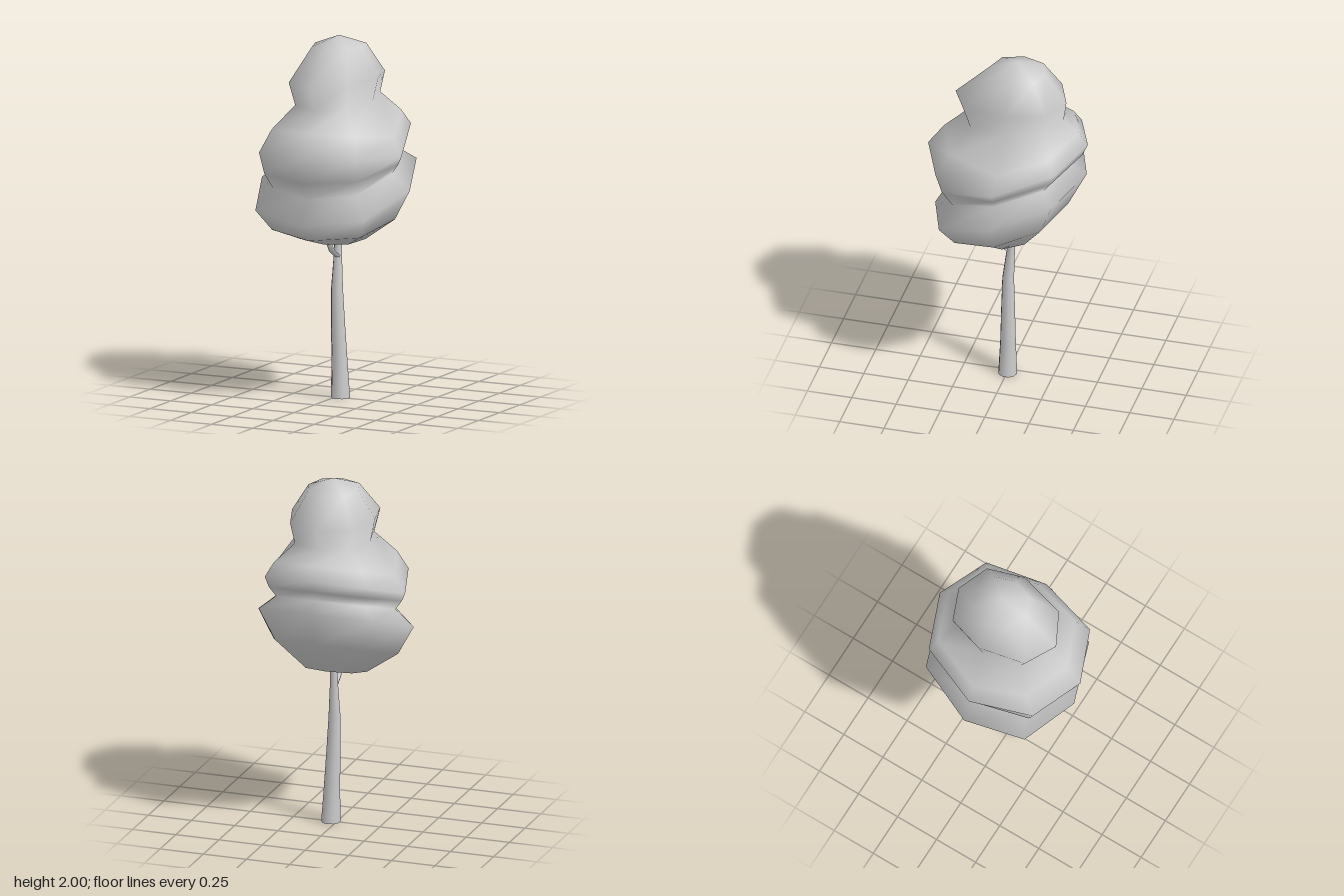
import * as THREE from 'three';
import { mergeVertices } from 'three/addons/utils/BufferGeometryUtils.js';

const material = new THREE.MeshStandardMaterial({ color: 0xcccccc, side: THREE.DoubleSide });

// Smooth skin through closed rings of [x, y, z] points, listed bottom to top
function loft(rings) {
  const n = rings[0].length;
  const index = [];
  for (let i = 0; i < rings.length - 1; i++) {
    for (let k = 0; k < n; k++) {
      const a = i * n + k, b = i * n + (k + 1) % n;
      index.push(a, b, b + n, a, b + n, a + n);
    }
  }
  const geometry = new THREE.BufferGeometry();
  geometry.setAttribute('position', new THREE.Float32BufferAttribute(rings.flat(2), 3));
  geometry.setIndex(index);
  const merged = mergeVertices(geometry, 1e-4); // closes the poles
  merged.computeVertexNormals();
  return merged;
}

// Tilted eight-sided ring given by its front, side and back points
function leafRing([frontZ, frontY, halfWidth, sideY, sideZ, backZ, backY]) {
  return Array.from({ length: 8 }, (_, k) => {
    const angle = k * Math.PI / 4;
    const grow = k % 2 ? 1.045 : 1;
    const c = Math.cos(angle) * grow, s = Math.sin(angle) * grow;
    const endZ = c > 0 ? frontZ : backZ;
    const endY = c > 0 ? frontY : backY;
    const t = Math.abs(c);
    return [halfWidth * s, sideY + (endY - sideY) * t, sideZ + (endZ - sideZ) * t];
  });
}

// Tapered limb: each stop is [x, y, z, radius]; rings lie flat
function limb(name, stops, sides) {
  const rings = stops.map(([x, y, z, r]) => Array.from({ length: sides }, (_, k) => {
    const a = k / sides * Math.PI * 2;
    return [x + r * Math.sin(a), y, z + r * Math.cos(a)];
  }));
  const mesh = new THREE.Mesh(loft(rings), material);
  mesh.name = name;
  return mesh;
}

export function createModel() {
  const tree = new THREE.Group();
  tree.name = 'tree';

  // Crown: three leaning tiers in one skin
  // frontZ, frontY, halfWidth, sideY, sideZ, backZ, backY
  const crown = new THREE.Mesh(loft([
    [-0.01, 0.87, 0, 0.87, -0.01, -0.01, 0.87],
    [0.14, 0.87, 0.18, 0.89, -0.01, -0.165, 0.92],
    [0.32, 0.92, 0.36, 1.015, -0.01, -0.335, 1.13],
    [0.415, 1.015, 0.45, 1.18, -0.01, -0.44, 1.34],
    [0.34, 1.15, 0.345, 1.27, -0.01, -0.355, 1.39],
    [0.41, 1.25, 0.38, 1.32, -0.01, -0.415, 1.46],
    [0.455, 1.395, 0.4, 1.365, -0.01, -0.446, 1.53],
    [0.365, 1.52, 0.345, 1.465, -0.02, -0.395, 1.6],
    [0.25, 1.63, 0.21, 1.655, -0.04, -0.31, 1.67],
    [0.3, 1.755, 0.24, 1.79, -0.05, -0.325, 1.78],
    [0.106, 1.945, 0.145, 1.945, -0.05, -0.207, 1.945],
    [-0.05, 2, 0, 2, -0.05, -0.05, 2],
  ].map(leafRing)), material);
  crown.name = 'crown';
  tree.add(crown);

  // Trunk, open at the base
  tree.add(limb('trunk', [
    [0.032, 0, -0.003, 0.053],
    [0.026, 0.2, -0.003, 0.044],
    [0.018, 0.4, -0.001, 0.039],
    [0.012, 0.6, 0, 0.033],
    [0.01, 0.78, -0.014, 0.023],
    [0.01, 0.95, -0.022, 0.018],
  ], 10));

  // Side branch leaning forward into the crown
  tree.add(limb('branch', [
    [0.012, 0.78, -0.01, 0.019],
    [0.013, 0.82, 0.06, 0.017],
    [0.013, 0.87, 0.1, 0.015],
    [0.013, 0.93, 0.12, 0.01],
  ], 6));

  return tree;
}
